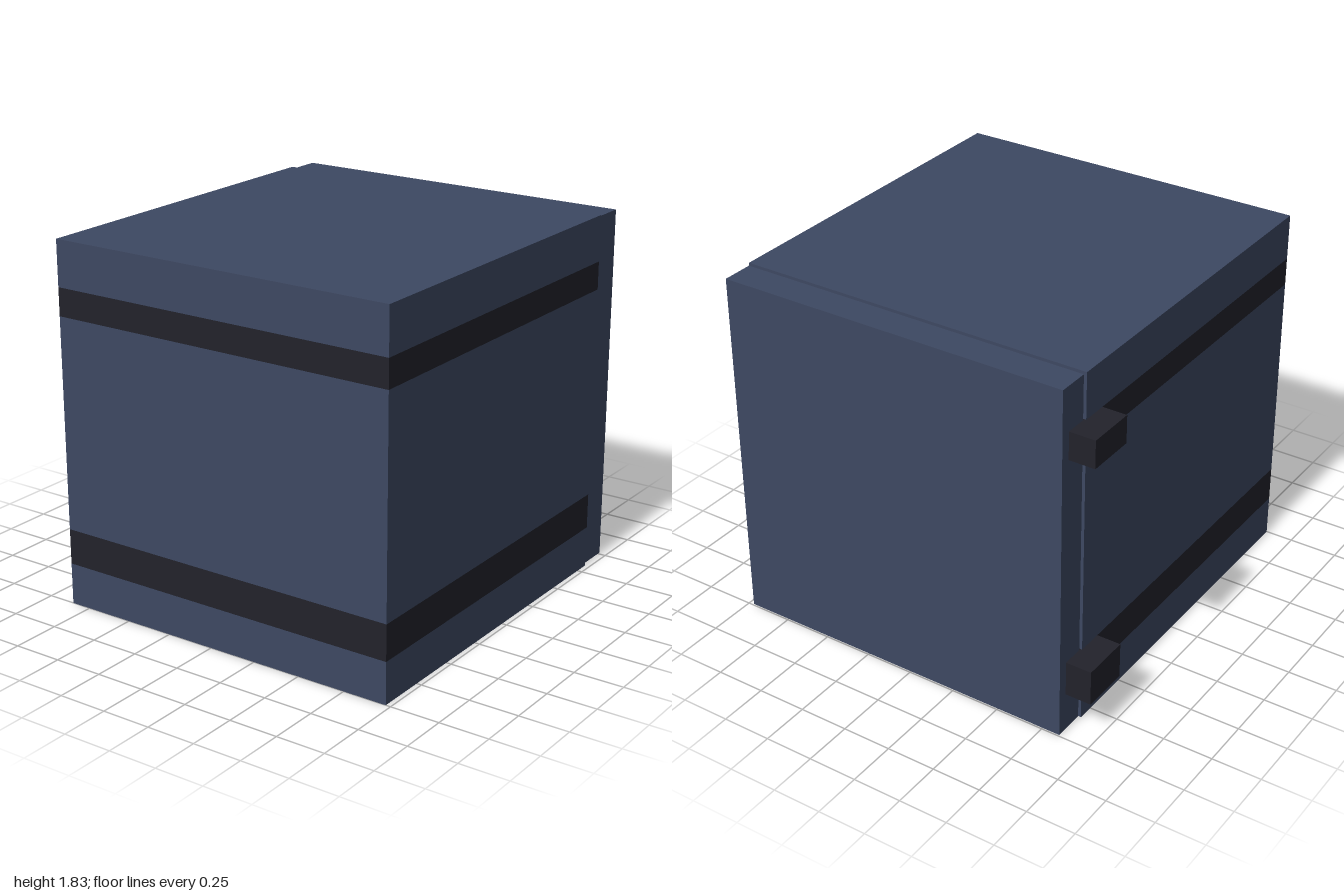
import * as THREE from 'three';

const blue = new THREE.MeshStandardMaterial({ color: 0x3d4862 });
blue.name = 'slate blue';
const dark = new THREE.MeshStandardMaterial({ color: 0x22222b });
dark.name = 'dark trim';

// Box given by its min and max corners
function box(name, material, [x0, y0, z0], [x1, y1, z1]) {
  const geometry = new THREE.BoxGeometry(x1 - x0, y1 - y0, z1 - z0);
  const mesh = new THREE.Mesh(geometry, material);
  mesh.position.set((x0 + x1) / 2, (y0 + y1) / 2, (z0 + z1) / 2);
  mesh.name = name;
  return mesh;
}

export function createModel() {
  const model = new THREE.Group();
  model.name = 'safe';

  // Cabinet: stacked layers, so the dark bands lie flush in the walls
  const body = new THREE.Group();
  body.name = 'body';
  const levels = [0, 0.21, 0.39, 1.46, 1.6, 1.83];
  for (let i = 0; i < levels.length - 1; i++) {
    const isBand = i % 2 === 1;
    body.add(box(isBand ? 'band' : 'bodyLayer', isBand ? dark : blue,
      [-1, levels[i], -0.855], [0.83, levels[i + 1], 0.975]));
  }
  model.add(body);

  // Door slab on the +x side
  const door = new THREE.Group();
  door.name = 'door';
  door.add(box('doorSlab', blue, [0.84, 0.008, -0.846], [1, 1.822, 0.967]));

  // Tapered plug between the door and the cabinet
  const plug = box('doorPlug', blue, [0.828, 0.008, -0.846], [0.84, 1.822, 0.967]);
  const p = plug.geometry.attributes.position;
  for (let i = 0; i < p.count; i++) {
    if (p.getX(i) < 0) p.setXYZ(i, p.getX(i), p.getY(i) * 0.95, p.getZ(i) * 0.95);
  }
  plug.geometry.computeVertexNormals();
  door.add(plug);
  model.add(door);

  // Hinge blocks at the back, level with the bands
  for (const [y0, y1] of [[0.21, 0.39], [1.46, 1.6]]) {
    model.add(box('hinge', dark, [0.7, y0, -0.978], [0.95, y1, -0.846]));
  }
  return model;
}
